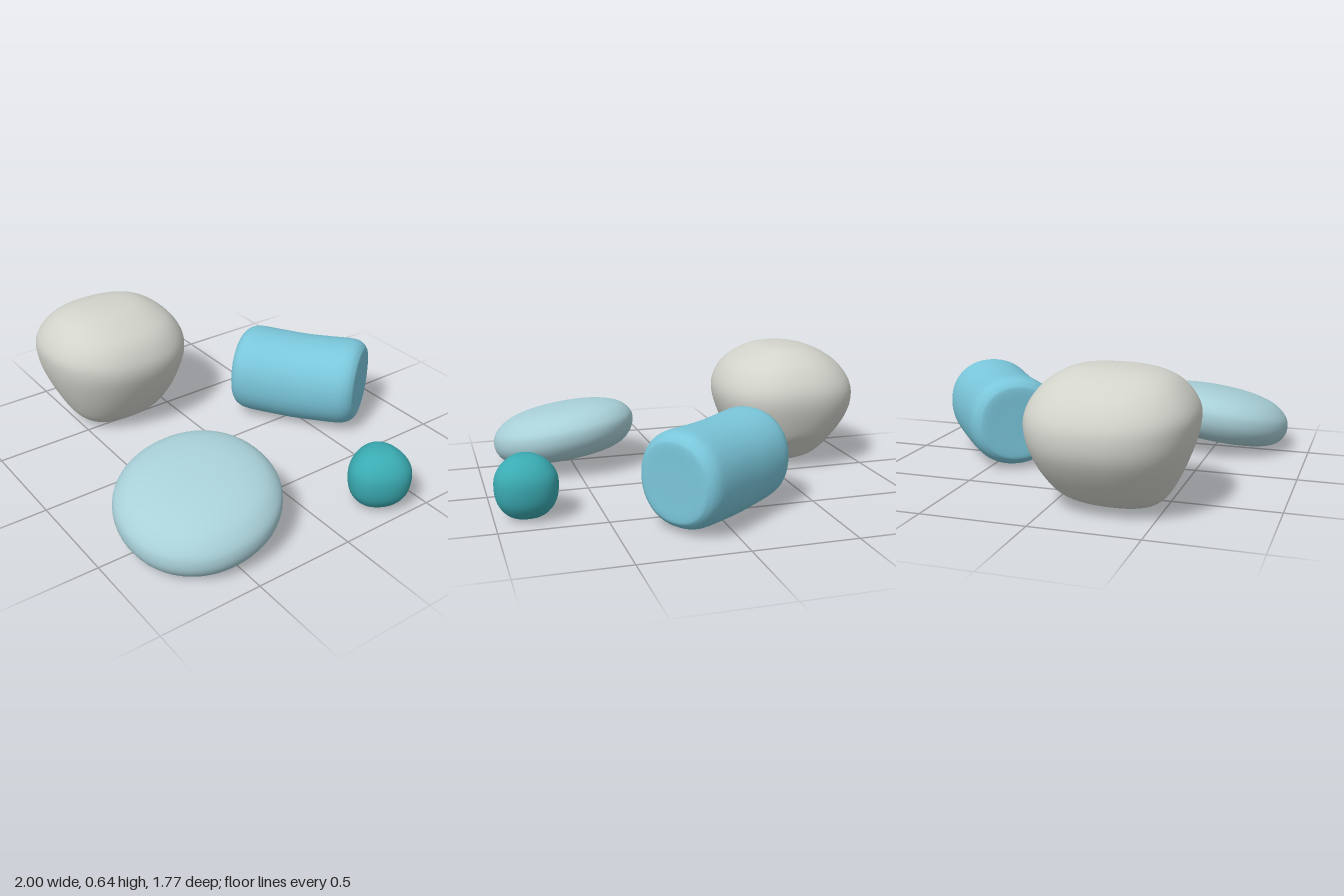
import * as THREE from 'three';
import { mergeVertices } from 'three/addons/utils/BufferGeometryUtils.js';

const paint = (name, color) => {
  const m = new THREE.MeshStandardMaterial({ color });
  m.name = name;
  return m;
};

// Smooth value between rings (Catmull-Rom on each number of the ring)
function ringAt(rings, t) {
  const i = Math.min(Math.floor(t), rings.length - 2), f = t - i;
  const r = (k) => rings[Math.max(0, Math.min(rings.length - 1, k))];
  return r(i).map((p1, k) => {
    const p0 = r(i - 1)[k], p2 = r(i + 1)[k], p3 = r(i + 2)[k];
    return p1 + 0.5 * f * (p2 - p0 + f * (2 * p0 - 5 * p1 + 4 * p2 - p3 + f * (3 * (p1 - p2) + p3 - p0)));
  });
}

// Closed body from rings [height, xMin, xMax, zMin, zMax]; power squares the outline, lobes makes it three-cornered
function loft(rings, power = 2, lobes = 0, sides = 56, steps = 5) {
  const pos = [], index = [], rows = (rings.length - 1) * steps;
  for (let i = 0; i <= rows; i++) {
    const [y, x0, x1, z0, z1] = ringAt(rings, i / steps);
    for (let j = 0; j < sides; j++) {
      const a = (j / sides) * Math.PI * 2, c = Math.cos(a), s = Math.sin(a);
      const k = (1 - lobes * Math.sin(3 * a)) / Math.pow(Math.abs(c) ** power + Math.abs(s) ** power, 1 / power);
      pos.push((x0 + x1) / 2 + ((x1 - x0) / 2) * c * k, y, (z0 + z1) / 2 + ((z1 - z0) / 2) * s * k);
      if (i === rows) continue;
      const p = i * sides + j, q = i * sides + ((j + 1) % sides);
      index.push(p, p + sides, q, q, p + sides, q + sides);
    }
  }
  const g = new THREE.BufferGeometry();
  g.setAttribute('position', new THREE.Float32BufferAttribute(pos, 3));
  g.setIndex(index);
  return mergeVertices(g, 1e-5);
}

// Move every vertex by a rule
function deform(g, rule) {
  const p = g.attributes.position, v = new THREE.Vector3();
  for (let i = 0; i < p.count; i++) {
    rule(v.fromBufferAttribute(p, i));
    p.setXYZ(i, v.x, v.y, v.z);
  }
  return g;
}

// Scale and place a body inside the given bounds
function fit(g, min, max) {
  g.computeBoundingBox();
  const lo = g.boundingBox.min.clone(), size = g.boundingBox.getSize(new THREE.Vector3());
  const a = new THREE.Vector3(...min), b = new THREE.Vector3(...max).sub(a);
  deform(g, (v) => v.sub(lo).divide(size).multiply(b).add(a));
  g.computeVertexNormals();
  return g;
}

// Round rings from [height, radius] pairs
const round = (list) => list.map(([y, r]) => [y, -r, r, -r, r]);

export function createModel() {
  const group = new THREE.Group();
  const add = (name, geometry, material) => {
    const mesh = new THREE.Mesh(geometry, material);
    mesh.name = name;
    group.add(mesh);
  };

  // Large grey stone, narrow at the foot, with a flat chip low on the back
  const grey = loft([
    [0, -0.58, -0.58, 0.3, 0.3],
    [0.008, -0.68, -0.49, 0.17, 0.43],
    [0.06, -0.80, -0.41, 0.03, 0.51],
    [0.16, -0.90, -0.34, -0.05, 0.57],
    [0.28, -0.98, -0.285, -0.1, 0.62],
    [0.38, -1, -0.26, -0.12, 0.645],
    [0.46, -0.98, -0.275, -0.105, 0.645],
    [0.54, -0.92, -0.33, -0.05, 0.60],
    [0.6, -0.83, -0.43, 0.03, 0.53],
    [0.632, -0.73, -0.52, 0.12, 0.42],
    [0.64, -0.62, -0.62, 0.26, 0.26],
  ], 2.3);
  const chip = new THREE.Vector3(0, -0.63, -0.777);
  deform(grey, (v) => v.addScaledVector(chip, -Math.max(0, v.dot(chip) + 0.068)));
  add('largeGreyStone', fit(grey, [-1, 0, -0.12], [-0.26, 0.64, 0.648]), paint('warm grey', 0xd2d3cb));

  // Lying cylinder stone with bevelled ends and a slightly sagging middle
  const end = [[0.32, 0, 0], [0.32, 0.09, 0], [0.32, 0.165, 0], [0.31, 0.19, 0], [0.285, 0.21, 0], [0.24, 0.221, 0.002], [0.13, 0.222, 0.008]];
  const ring = (side) => ([y, r, sag]) => [side * y, sag - r, sag + r, -r * 0.97, r * 0.97];
  const log = loft([...end.map(ring(-1)), [0, -0.21, 0.235, -0.213, 0.213], ...end.map(ring(1)).reverse()], 2.15);
  log.rotateZ(-Math.PI / 2).rotateY(THREE.MathUtils.degToRad(35.5));
  add('cylinderStone', fit(log, [-0.36, 0, -0.89], [0.365, 0.46, -0.185]), paint('sky blue', 0x7ac6da));

  // Flat tilted pebble with a flatter underside
  const flat = loft(round([
    [-0.125, 0], [-0.125, 0.13], [-0.12, 0.25], [-0.095, 0.325], [-0.05, 0.365], [0, 0.378],
    [0.05, 0.365], [0.1, 0.31], [0.13, 0.22], [0.145, 0.11], [0.148, 0],
  ]), 2.08);
  deform(flat, (v) => { v.y -= 0.13 * v.x + 0.13 * v.z; });
  add('flatPebble', fit(flat, [0.16, 0, 0.12], [0.91, 0.35, 0.88]), paint('pale blue', 0xa9d0d8));

  // Small teal pebble with a softly three-cornered outline
  const small = loft(round([
    [-0.15, 0], [-0.143, 0.06], [-0.115, 0.105], [-0.065, 0.138], [0, 0.15],
    [0.06, 0.143], [0.11, 0.11], [0.142, 0.06], [0.15, 0],
  ]), 2, -0.0 + 0.05);
  add('smallPebble', fit(small, [0.7, 0, -0.46], [0.995, 0.3, -0.16]), paint('teal', 0x3aabb2));

  return group;
}
